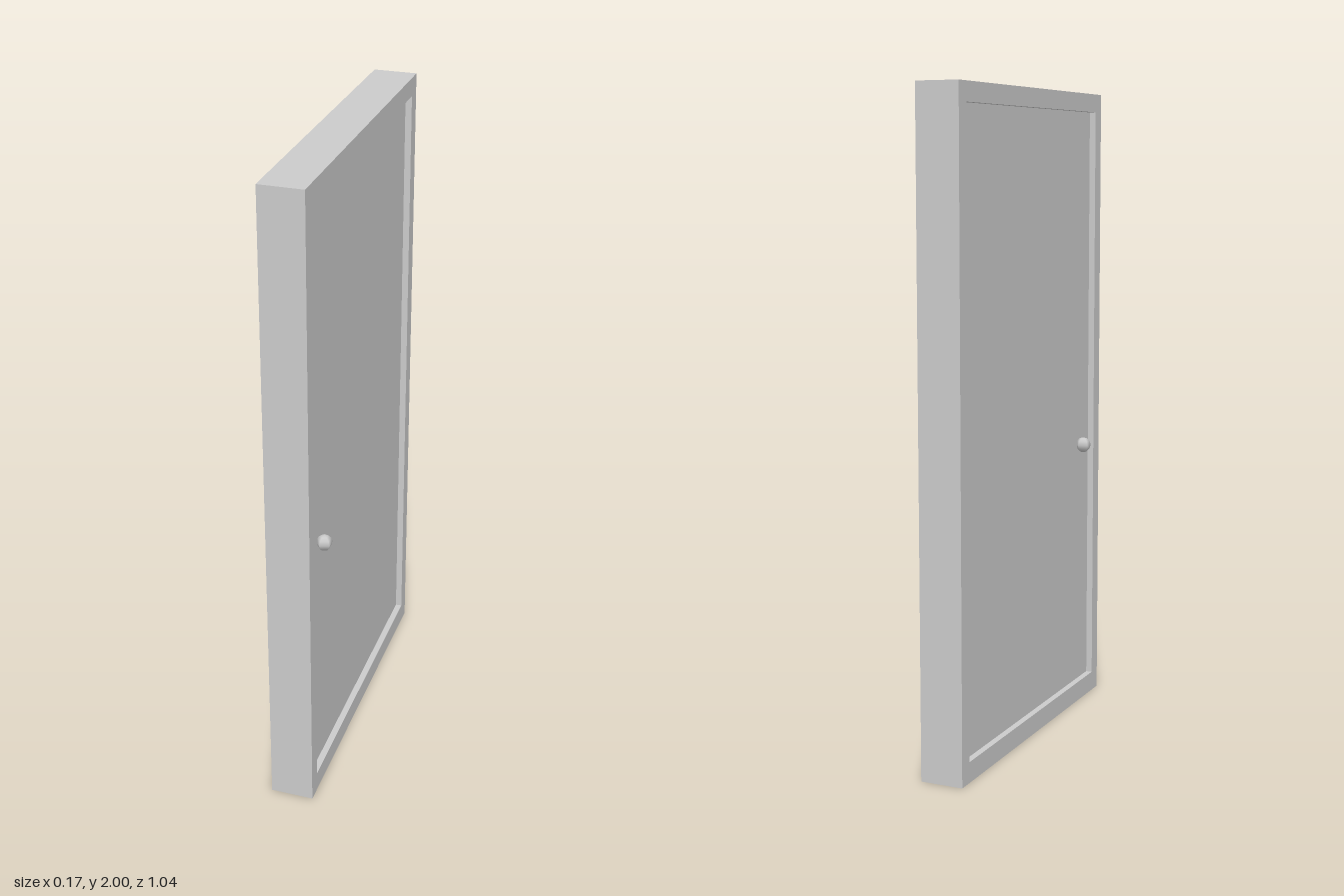
import * as THREE from 'three';

const grey = new THREE.MeshStandardMaterial({ color: 0xcccccc });

function addMesh(parent, name, geometry, x, y, z) {
  const mesh = new THREE.Mesh(geometry, grey);
  mesh.name = name;
  mesh.position.set(x, y, z);
  parent.add(mesh);
  return mesh;
}

export function createModel() {
  const model = new THREE.Group();
  model.name = 'door';

  const midX = -0.002; // centre of the door's thickness
  const depth = 0.133;
  const halfWidth = 0.522, height = 2;
  const openHalf = 0.475, openBottom = 0.063, openTop = 1.943;

  // Frame: a rectangle with a rectangular opening, extruded through its thickness
  const outline = new THREE.Shape();
  outline.moveTo(-halfWidth, 0);
  outline.lineTo(halfWidth, 0);
  outline.lineTo(halfWidth, height);
  outline.lineTo(-halfWidth, height);
  outline.closePath();
  const opening = new THREE.Path();
  opening.moveTo(-openHalf, openBottom);
  opening.lineTo(-openHalf, openTop);
  opening.lineTo(openHalf, openTop);
  opening.lineTo(openHalf, openBottom);
  opening.closePath();
  outline.holes.push(opening);
  const frameGeometry = new THREE.ExtrudeGeometry(outline, { depth, bevelEnabled: false });
  frameGeometry.translate(0, 0, -depth / 2);
  frameGeometry.rotateY(Math.PI / 2);
  addMesh(model, 'frame', frameGeometry, midX, 0, 0);

  // Panel: recessed equally on both faces
  const recess = 0.02;
  addMesh(model, 'panel',
    new THREE.BoxGeometry(depth - 2 * recess, openTop - openBottom, openHalf * 2),
    midX, (openTop + openBottom) / 2, 0);

  // Knobs: five-sided balls with a flat side facing outwards
  for (const side of [1, -1]) {
    const knob = addMesh(model, side > 0 ? 'leftKnob' : 'rightKnob',
      new THREE.SphereGeometry(0.025, 5, 6), midX + side * 0.066, 0.863, 0.387);
    if (side < 0) knob.rotation.y = Math.PI;
  }

  return model;
}
